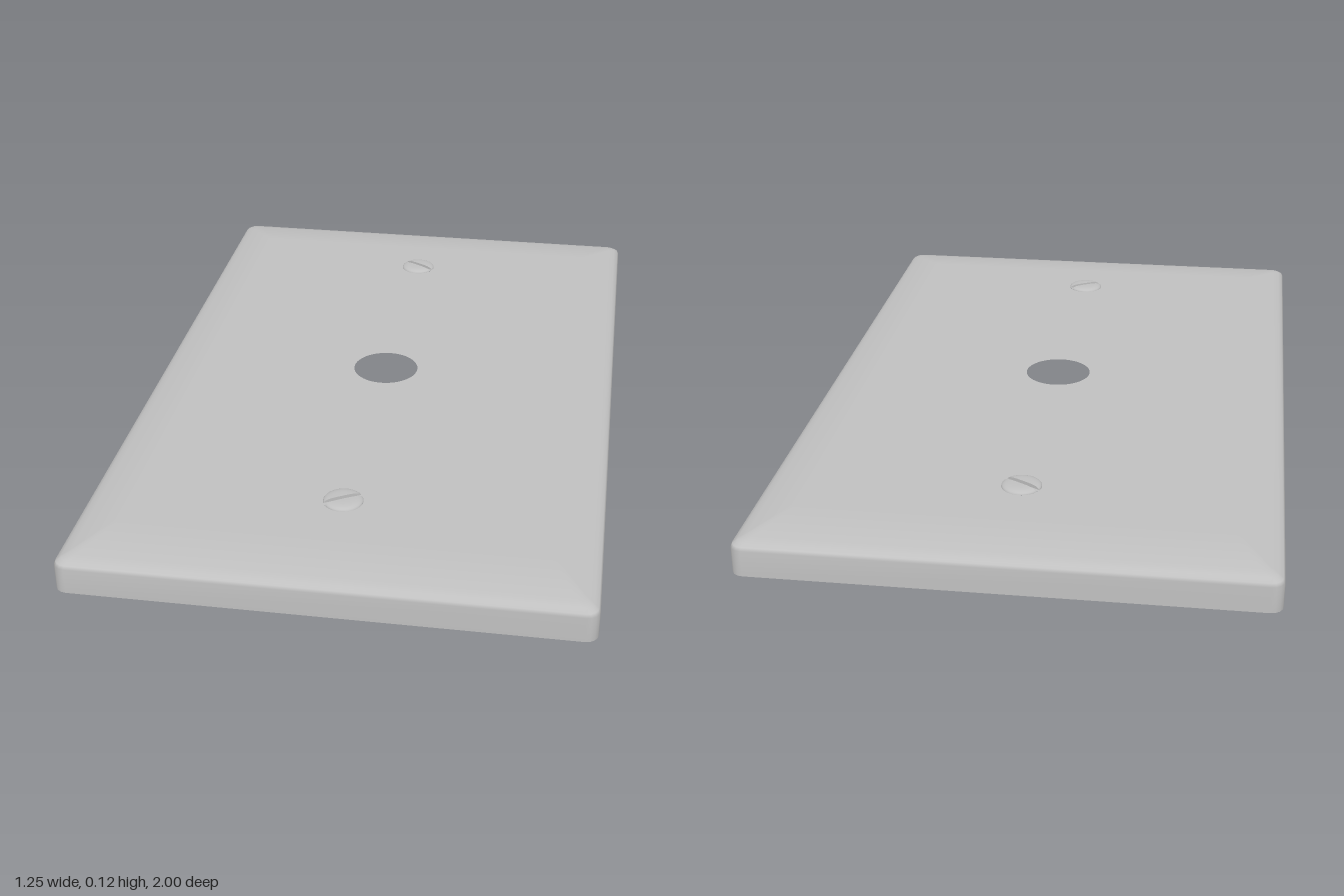
import * as THREE from 'three';
import { mergeGeometries, mergeVertices } from 'three/addons/utils/BufferGeometryUtils.js';
import { ParametricGeometry } from 'three/addons/geometries/ParametricGeometry.js';

const TOP = 0.106, SCREW_Z = 0.68, SCREW_R = 0.049;

// Counter-clockwise rounded rectangle with half sizes hx, hz
function ring(hx, hz, r) {
  const points = [];
  [[1, 1], [-1, 1], [-1, -1], [1, -1]].forEach(([sx, sz], corner) => {
    for (let i = 0; i <= 4; i++) {
      const a = (corner + i / 4) * Math.PI / 2;
      points.push(new THREE.Vector2(sx * (hx - r) + r * Math.cos(a), sz * (hz - r) + r * Math.sin(a)));
    }
  });
  return points;
}

// Open-bottomed pressed sheet: walls, rounded edge, shallow bevel, pierced flat face
function plateGeometry() {
  const rings = [
    [0.627, 1, 0.03, 0], [0.627, 1, 0.03, 0.065], [0.623, 0.996, 0.028, 0.073],
    [0.612, 0.985, 0.022, 0.08], [0.595, 0.965, 0.018, 0.085], [0.51, 0.83, 0.006, TOP],
  ];
  const positions = [], index = [];
  const loops = rings.map(([hx, hz, r]) => ring(hx, hz, r));
  const n = loops[0].length;
  loops.forEach((loop, i) => {
    loop.forEach((p, k) => {
      positions.push(p.x, rings[i][3], -p.y);
      if (i === 0) return;
      const k2 = (k + 1) % n, lo = (i - 1) * n, hi = i * n;
      index.push(lo + k, lo + k2, hi + k2, lo + k, hi + k2, hi + k);
    });
  });
  const skirt = new THREE.BufferGeometry();
  skirt.setAttribute('position', new THREE.Float32BufferAttribute(positions, 3));
  skirt.setIndex(index);

  const shape = new THREE.Shape(loops[loops.length - 1]);
  for (const [z, r] of [[0, 0.088], [SCREW_Z, SCREW_R], [-SCREW_Z, SCREW_R]]) {
    shape.holes.push(new THREE.Path().absarc(0, z, r, 0, Math.PI * 2, true));
  }
  const face = new THREE.ShapeGeometry(shape, 24).rotateX(-Math.PI / 2).translate(0, TOP, 0);
  face.deleteAttribute('uv');
  face.deleteAttribute('normal');

  const plate = mergeVertices(mergeGeometries([skirt, face]), 1e-4);
  plate.computeVertexNormals();
  // Keep the flat face evenly shaded up to its border
  const pos = plate.attributes.position, normal = plate.attributes.normal;
  for (let i = 0; i < pos.count; i++) {
    if (pos.getY(i) > TOP - 0.001) normal.setXYZ(i, 0, 1, 0);
  }
  return plate;
}

// Domed, slotted screw head
function createScrew(material) {
  const screw = new THREE.Group();
  const s = 0.006, a0 = Math.asin(s / SCREW_R);
  const dome = (x, z) => 0.01 * Math.sqrt(Math.max(0, 1 - ((x * x + z * z) / SCREW_R ** 2) ** 2));
  const angle = u => a0 + (Math.PI - 2 * a0) * u;
  const half = new ParametricGeometry((u, v, target) => {
    const a = angle(u), x = SCREW_R * Math.cos(a);
    const z = THREE.MathUtils.lerp(s, SCREW_R * Math.sin(a), Math.sin(v * Math.PI / 2));
    target.set(x, dome(x, z), z);
  }, 24, 8);
  half.computeVertexNormals();
  const wall = new ParametricGeometry((u, v, target) => {
    const x = SCREW_R * Math.cos(angle(u));
    target.set(x, dome(x, s) * v, s);
  }, 24, 1);
  for (const turn of [0, Math.PI]) {
    const head = new THREE.Mesh(half, material);
    const side = new THREE.Mesh(wall, material);
    head.name = 'screwHeadHalf';
    side.name = 'slotWall';
    head.rotation.y = side.rotation.y = turn;
    screw.add(head, side);
  }
  const floor = new THREE.Mesh(new THREE.PlaneGeometry(2 * SCREW_R, 2 * s).rotateX(-Math.PI / 2), material);
  floor.name = 'slotFloor';
  floor.position.y = 0.001;
  screw.add(floor);
  return screw;
}

export function createModel() {
  const model = new THREE.Group();
  model.name = 'wallPlate';
  const metal = new THREE.MeshStandardMaterial({ color: 0xc0c0c0, side: THREE.DoubleSide });
  metal.name = 'light grey';

  const plate = new THREE.Mesh(plateGeometry(), metal);
  plate.name = 'coverPlate';
  model.add(plate);

  // Mirrored screws, with slots turned opposite ways
  for (const side of [1, -1]) {
    const screw = createScrew(metal);
    screw.name = side > 0 ? 'frontScrew' : 'backScrew';
    screw.position.set(0, TOP, side * SCREW_Z);
    screw.rotation.y = side * Math.PI / 6;
    model.add(screw);
  }
  return model;
}
